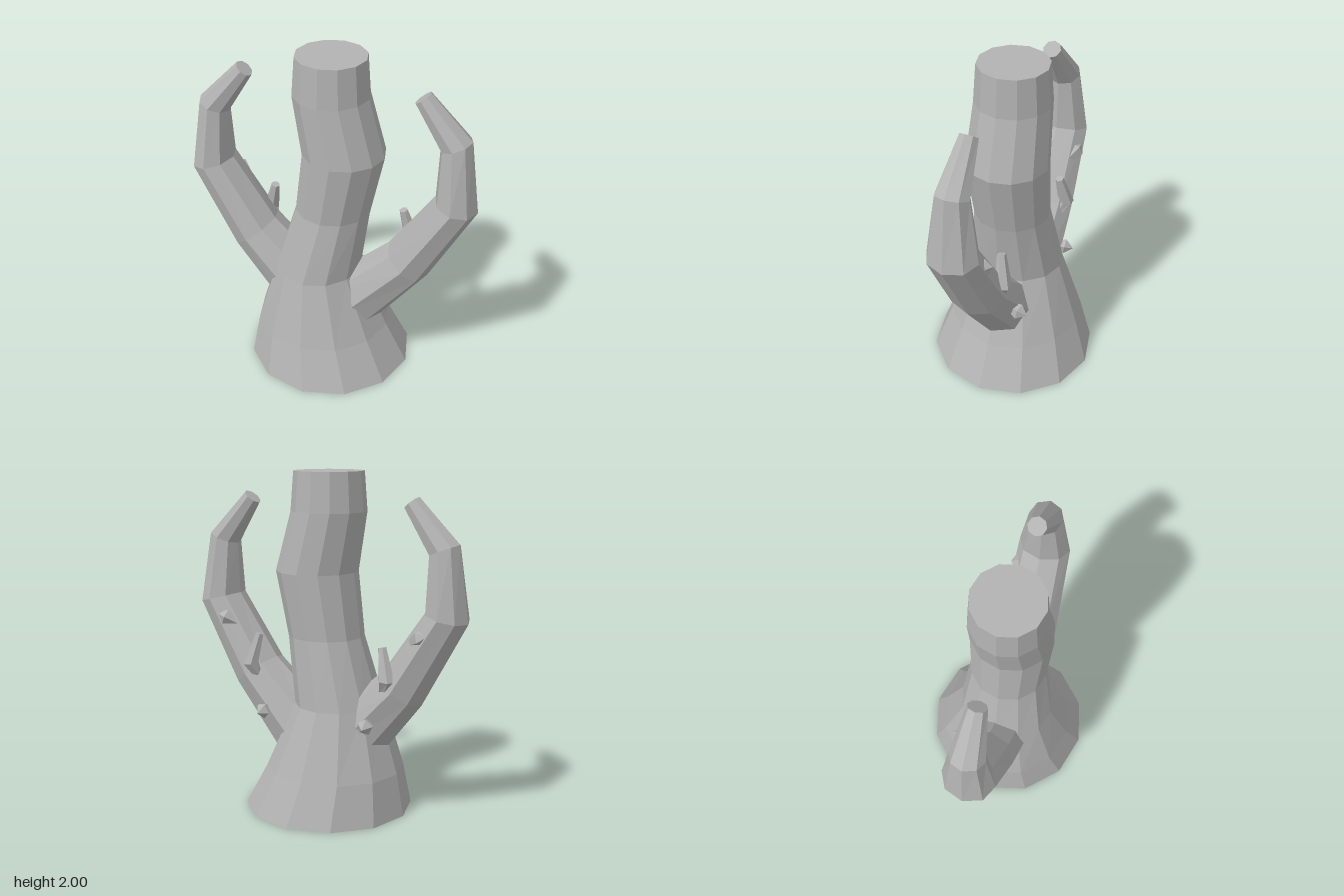
import * as THREE from 'three';

const bark = new THREE.MeshStandardMaterial({ color: 0xb2b2b2 });
bark.name = 'grey bark';
bark.flatShading = true;

// Capped tube through stations [x, y, z, radius, radius across]; ref gives the "across" direction.
function sweep(stations, sides, ref, level = false) {
  const centres = stations.map(s => new THREE.Vector3(s[0], s[1], s[2]));
  const rings = stations.map((s, i) => {
    const t = new THREE.Vector3(0, 1, 0);
    if (!level) {
      t.set(0, 0, 0);
      if (i > 0) t.add(centres[i].clone().sub(centres[i - 1]).normalize());
      if (i < centres.length - 1) t.add(centres[i + 1].clone().sub(centres[i]).normalize());
      t.normalize();
    }
    const b = ref.clone().addScaledVector(t, -ref.dot(t)).normalize();
    const n = b.clone().cross(t);
    return Array.from({ length: sides }, (_, k) => {
      const a = (k / sides) * Math.PI * 2;
      return centres[i].clone()
        .addScaledVector(n, Math.cos(a) * s[3])
        .addScaledVector(b, Math.sin(a) * (s[4] ?? s[3]));
    });
  });
  const pts = [];
  const last = rings.length - 1;
  for (let k = 0; k < sides; k++) {
    const m = (k + 1) % sides;
    for (let i = 0; i < last; i++) {
      const p = rings[i], q = rings[i + 1];
      pts.push(p[k], p[m], q[m], p[k], q[m], q[k]);
    }
    pts.push(centres[0], rings[0][m], rings[0][k]);
    pts.push(centres[last], rings[last][k], rings[last][m]);
  }
  const g = new THREE.BufferGeometry().setFromPoints(pts);
  g.computeVertexNormals();
  return g;
}

function part(name, geometry, parent) {
  const mesh = new THREE.Mesh(geometry, bark);
  mesh.name = name;
  parent.add(mesh);
}

export function createModel() {
  const model = new THREE.Group();
  model.name = 'treeStump';
  const Z = new THREE.Vector3(0, 0, 1);

  // Swaying trunk with a flared foot
  part('trunk', sweep([
    [0, 0, 0, 0.5],
    [-0.045, 0.25, 0, 0.41],
    [-0.07, 0.64, 0.01, 0.26, 0.285],
    [0.015, 1.04, 0, 0.225],
    [0.078, 1.42, 0, 0.243],
    [0, 1.77, 0, 0.222],
    [0, 2, 0, 0.205],
  ], 12, Z, true), model);

  // Mirrored branches with their small growths on the back
  for (const side of [1, -1]) {
    const branch = new THREE.Group();
    branch.name = side > 0 ? 'leftBranch' : 'rightBranch';
    model.add(branch);
    const grow = (name, stations, sides) =>
      part(name, sweep(stations.map(([x, ...rest]) => [side * x, ...rest]), sides, Z), branch);

    grow('limb', [
      [0.18, 0.45, 0, 0.19, 0.195],
      [0.485, 0.78, 0, 0.15, 0.175],
      [0.75, 1.215, 0, 0.127, 0.155],
      [0.725, 1.585, 0, 0.095, 0.1],
      [0.525, 1.835, 0, 0.055],
    ], 8);
    grow('twig', [
      [0.42, 0.77, -0.12, 0.03],
      [0.455, 0.85, -0.15, 0.05],
      [0.41, 1.03, -0.12, 0.026],
    ], 6);
    grow('lowerBud', [
      [0.33, 0.59, -0.12, 0.025],
      [0.345, 0.575, -0.2, 0.048],
      [0.35, 0.57, -0.25, 0.002],
    ], 5);
    grow('upperBud', [
      [0.56, 1.06, -0.09, 0.02],
      [0.65, 1.11, -0.13, 0.05],
      [0.70, 1.13, -0.145, 0.002],
    ], 5);
  }
  return model;
}
